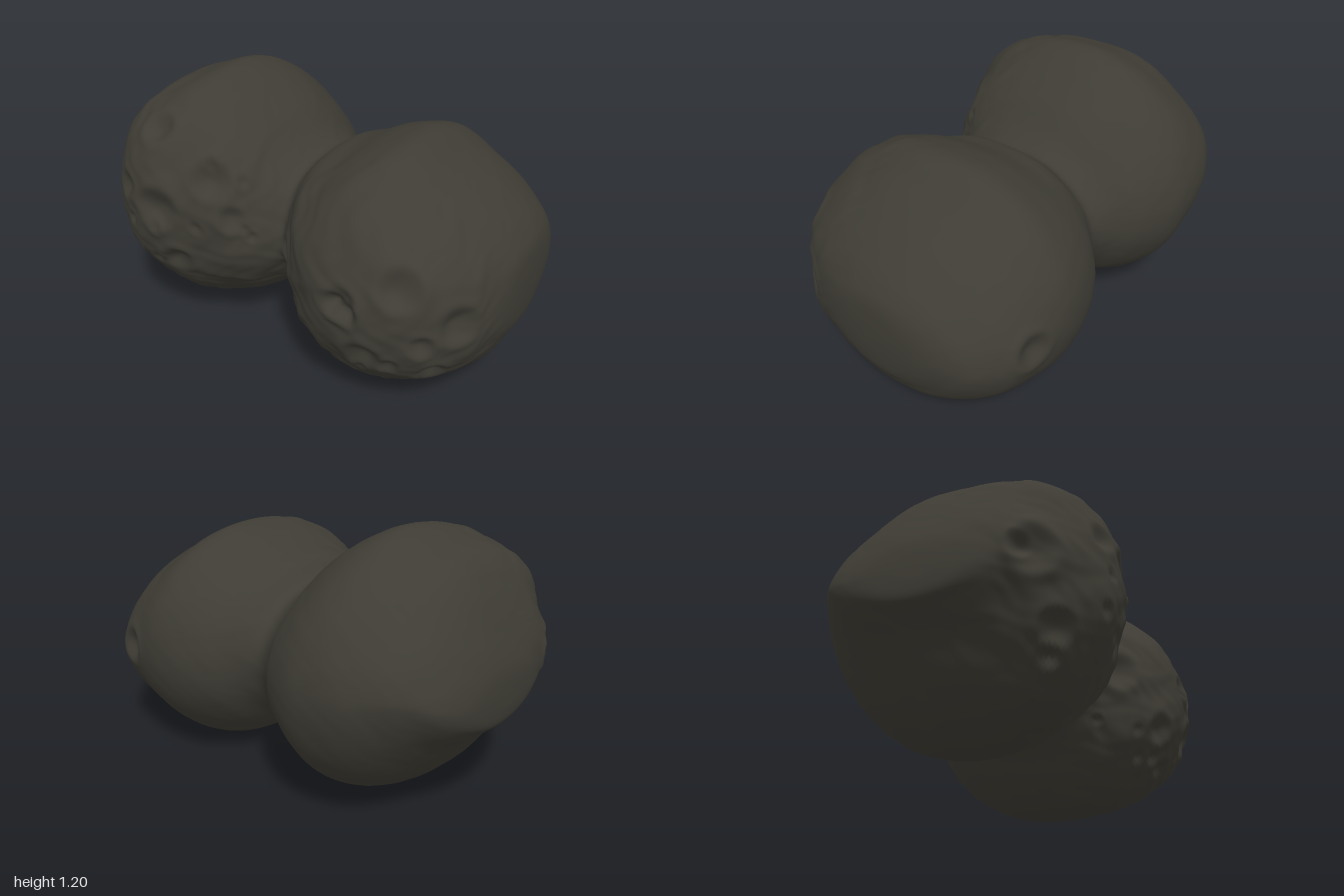
import * as THREE from 'three';

// Outline stations along the long axis: x, top y, bottom y, front z, back z
const STATIONS = [
  [-1, 0.62, 0.61, 0, -0.03], [-0.997, 0.69, 0.545, 0.1, -0.15], [-0.983, 0.755, 0.49, 0.22, -0.3],
  [-0.94, 0.855, 0.45, 0.345, -0.425], [-0.86, 1.005, 0.365, 0.465, -0.515], [-0.77, 1.11, 0.25, 0.565, -0.575],
  [-0.65, 1.16, 0.135, 0.635, -0.625], [-0.5, 1.205, 0.055, 0.635, -0.645], [-0.36, 1.155, 0.06, 0.58, -0.635],
  [-0.2, 1.04, 0.14, 0.515, -0.56], [-0.09, 0.925, 0.23, 0.42, -0.46], [0, 0.88, 0.28, 0.36, -0.42],
  [0.09, 0.95, 0.22, 0.45, -0.47], [0.19, 0.985, 0.12, 0.555, -0.56], [0.33, 1.05, 0.03, 0.625, -0.62],
  [0.48, 1.078, 0.008, 0.64, -0.64], [0.63, 1, 0.05, 0.625, -0.62], [0.78, 0.915, 0.095, 0.555, -0.58],
  [0.9, 0.815, 0.185, 0.425, -0.48], [0.955, 0.75, 0.28, 0.3, -0.38], [0.985, 0.69, 0.345, 0.19, -0.26],
  [0.997, 0.6, 0.43, 0.09, -0.13], [1, 0.52, 0.51, 0.01, -0.02],
];

// Roundness of each lobe's quarters (2 is an ellipse, more is fuller)
const RIGHT_LOBE = { upperFront: 2.42, upperBack: 1.87, lowerBack: 2, lowerFront: 2 };
const LEFT_LOBE = { upperFront: 2.28, upperBack: 2.08, lowerBack: 2.04, lowerFront: 2.16 };

// Craters: x, y, radius, side (1 front, -1 back)
const CRATERS = [
  [-0.28, 0.85, 0.1, 1], [-0.49, 0.71, 0.11, 1], [-0.18, 0.68, 0.07, 1], [-0.9, 0.64, 0.11, 1],
  [-0.68, 0.77, 0.07, 1], [-0.43, 0.44, 0.08, 1], [-0.75, 0.38, 0.08, 1], [-0.56, 1.04, 0.09, 1],
  [0.7, 0.7, 0.1, 1], [0.49, 0.61, 0.08, 1], [0.08, 0.57, 0.1, 1], [0.28, 0.33, 0.08, 1],
  [0.57, 0.36, 0.09, 1], [0.9, 0.54, 0.1, 1], [0.81, 0.3, 0.07, 1], [0.44, 0.2, 0.06, 1],
  [0.68, 0.54, 0.09, -1],
];

const RINGS = 230, SIDES = 220;
const { lerp, smoothstep } = THREE.MathUtils;

// Small seeded random numbers
function seeded(seed) {
  return () => {
    seed = (seed * 16807) % 2147483647;
    return seed / 2147483647;
  };
}

// Smooth bumpiness from layered, warped sine waves, about -1 to 1
function bumps(x, y, z) {
  let sum = 0, amp = 0.5, f = 11;
  for (let k = 0; k < 3; k++) {
    const wx = x * f + 1.3 * Math.sin(y * f * 0.7 + k), wy = y * f + 1.3 * Math.sin(z * f * 0.6 + 2 * k);
    sum += amp * Math.sin(wx + 1.7 * k) * Math.cos(wy + z * f * 0.8);
    amp *= 0.6;
    f *= 2.1;
  }
  return sum;
}

// Section exponent at length x in the direction (c front, s up)
function roundness(x, c, s) {
  const up = smoothstep(s, -0.8, 0.8), front = smoothstep(c, -0.8, 0.8);
  const quarter = (l) => lerp(lerp(l.lowerBack, l.lowerFront, front), lerp(l.upperBack, l.upperFront, front), up);
  const n = lerp(quarter(RIGHT_LOBE), quarter(LEFT_LOBE), smoothstep(x, -0.2, 0.2));
  // The back gets leaner towards the outer ends
  return n - 0.2 * (1 - front) * smoothstep(Math.abs(x), 0.55, 0.85);
}

// Loft of rounded cross-sections, closed at both ends
function loftBody() {
  const heights = new THREE.CatmullRomCurve3(
    STATIONS.map(([x, t, b]) => new THREE.Vector3(x, t, b)), false, 'catmullrom', 0.5);
  const depths = new THREE.CatmullRomCurve3(
    STATIONS.map(([x, , , f, b]) => new THREE.Vector3(x, f, b)), false, 'catmullrom', 0.5);
  const pos = [], index = [];
  for (let i = 0; i <= RINGS; i++) {
    const h = heights.getPoint(i / RINGS), d = depths.getPoint(i / RINGS);
    const cy = (h.y + h.z) / 2, ry = (h.y - h.z) / 2;
    const cz = (d.y + d.z) / 2, rz = (d.y - d.z) / 2;
    for (let j = 0; j < SIDES; j++) {
      const a = (j / SIDES) * Math.PI * 2, c = Math.cos(a), s = Math.sin(a);
      const n = roundness(h.x, c, s);
      const r = Math.pow(Math.abs(c) ** n + Math.abs(s) ** n, -1 / n);
      pos.push(h.x, cy + ry * r * s, cz + rz * r * c);
      if (i < RINGS) {
        const k = (j + 1) % SIDES, p = i * SIDES, q = p + SIDES;
        index.push(p + j, q + j, p + k, q + j, q + k, p + k);
      }
    }
  }
  // End caps
  const last = RINGS * SIDES, capA = pos.length / 3, capB = capA + 1;
  for (const s of [STATIONS[0], STATIONS[STATIONS.length - 1]]) {
    pos.push(s[0], (s[1] + s[2]) / 2, (s[3] + s[4]) / 2);
  }
  for (let j = 0; j < SIDES; j++) {
    const k = (j + 1) % SIDES;
    index.push(capA, j, k, capB, last + k, last + j);
  }
  const geo = new THREE.BufferGeometry();
  geo.setAttribute('position', new THREE.Float32BufferAttribute(pos, 3));
  geo.setIndex(index);
  geo.computeVertexNormals();
  return geo;
}

// Large craters plus a scatter of small pits over the front of both lobes
function craterList() {
  const rand = seeded(77), list = [...CRATERS];
  for (let i = 0; i < 24; i++) {
    const a = rand() * Math.PI * 2, d = 0.45 * Math.sqrt(rand()), lobe = i % 2 ? 1 : -1;
    list.push([lobe * 0.48 + d * Math.cos(a), 0.58 - lobe * 0.06 + d * Math.sin(a), 0.03 + 0.03 * rand(), 1]);
  }
  return list;
}

// Press craters and rough ground into the surface along its normals
function weather(geo) {
  const p = geo.attributes.position, nrm = geo.attributes.normal;
  const points = [], v = new THREE.Vector3();
  for (let i = 0; i < p.count; i++) points.push(new THREE.Vector3().fromBufferAttribute(p, i));
  const pits = craterList().map(([x, y, r, side]) => {
    let best = null, near = Infinity;
    for (const q of points) {
      const d = Math.hypot(q.x - x, q.y - y);
      if (q.z * side > 0 && d < near) { near = d; best = q; }
    }
    return { center: best, r };
  });
  points.forEach((q, i) => {
    // The front is rugged, the back is nearly smooth
    const rugged = smoothstep(q.z, 0, 0.4);
    let push = bumps(q.x, q.y, q.z) * (0.003 + 0.01 * rugged);
    for (const { center, r } of pits) {
      const d = q.distanceTo(center) / r;
      if (d > 2) continue;
      if (d < 1) push -= 0.34 * r * (1 - d * d) ** 2;
      push += 0.07 * r * Math.exp(-(((d - 1) / 0.3) ** 2));
    }
    // Keep the end faces at their full length
    const fade = 1 - smoothstep(Math.abs(q.x), 0.94, 1) * 0.9;
    v.fromBufferAttribute(nrm, i).multiplyScalar(push * fade).add(q);
    p.setXYZ(i, v.x, v.y, v.z);
  });
  geo.computeBoundingBox();
  const box = geo.boundingBox, c = box.getCenter(new THREE.Vector3());
  geo.translate(-c.x, -box.min.y, -c.z);
  geo.computeVertexNormals();
  return geo;
}

export function createModel() {
  const group = new THREE.Group();
  group.name = 'twoLobedAsteroid';
  const rock = new THREE.MeshStandardMaterial({ color: 0x3e3c34 });
  rock.name = 'dark rock';
  const body = new THREE.Mesh(weather(loftBody()), rock);
  body.name = 'rockBody';
  group.add(body);
  return group;
}
